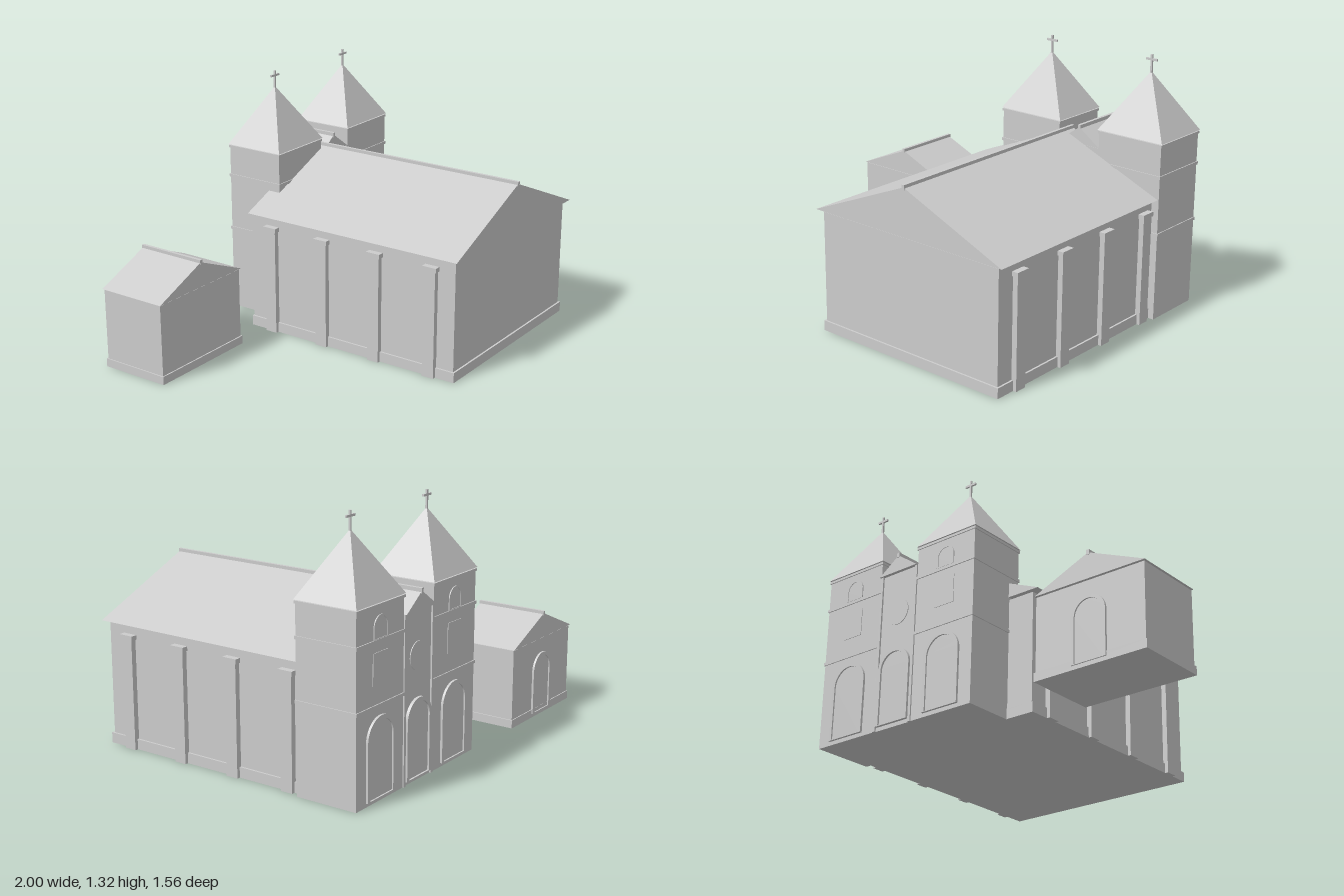
import * as THREE from 'three';

const stone = new THREE.MeshStandardMaterial({ color: 0xcccccc });
stone.name = 'pale grey stone';

function add(parent, name, geometry) {
  const mesh = new THREE.Mesh(geometry, stone);
  mesh.name = name;
  parent.add(mesh);
  return mesh;
}

// Box given by its limits on each axis
function block(parent, name, x0, x1, y0, y1, z0, z1) {
  const mesh = add(parent, name, new THREE.BoxGeometry(x1 - x0, y1 - y0, z1 - z0));
  mesh.position.set((x0 + x1) / 2, (y0 + y1) / 2, (z0 + z1) / 2);
  return mesh;
}

// Solid gable roof with its ridge along z and a narrow ridge cap
function gableRoof(parent, name, x0, x1, eave, ridge, z0, z1) {
  const mid = (x0 + x1) / 2;
  const shape = new THREE.Shape([
    new THREE.Vector2(x0, eave), new THREE.Vector2(x1, eave), new THREE.Vector2(mid, ridge),
  ]);
  const roof = add(parent, name, new THREE.ExtrudeGeometry(shape, { depth: z1 - z0, bevelEnabled: false }));
  roof.position.z = z0;
  block(parent, name + 'RidgeCap', mid - 0.008, mid + 0.008, ridge - 0.012, ridge + 0.013, z0 - 0.003, z1 + 0.003);
}

// Outline of a round-headed opening
function archPath(path, w, h, y0 = 0) {
  const r = w / 2;
  path.moveTo(-r, y0);
  path.lineTo(r, y0);
  path.lineTo(r, h - r);
  path.absarc(0, h - r, r, 0, Math.PI, false);
  path.lineTo(-r, y0);
  return path;
}

// Raised frame around an arched opening, with a thin leaf inside; faces -z
function archedOpening(parent, name, x, y, w, h, frame, wallZ, depth) {
  const ring = archPath(new THREE.Shape(), w, h);
  ring.holes.push(archPath(new THREE.Path(), w - 2 * frame, h - frame, 0.004));
  const leaf = archPath(new THREE.Shape(), w - 2 * frame, h - frame, 0.004);
  for (const [part, shape, d] of [['Frame', ring, depth], ['Leaf', leaf, depth * 0.35]]) {
    const geometry = new THREE.ExtrudeGeometry(shape, { depth: d, bevelEnabled: false, curveSegments: 20 });
    add(parent, name + part, geometry).position.set(x, y, wallZ - d);
  }
}

function tower(x0, x1) {
  const g = new THREE.Group();
  g.name = 'bellTower';
  const z0 = -0.76, z1 = -0.43, mid = (x0 + x1) / 2, zMid = -0.595;
  block(g, 'towerWalls', x0, x1, 0, 0.915, z0, z1);

  // Storey bands and the cornice
  for (const y of [0.456, 0.756]) {
    block(g, 'towerBand', x0 - 0.005, x1 + 0.005, y - 0.008, y + 0.008, z0 - 0.005, z1 + 0.005);
  }
  block(g, 'towerCornice', x0 - 0.005, x1 + 0.005, 0.912, 0.925, z0 - 0.005, z1 + 0.005);

  // Pyramid spire
  const cone = new THREE.ConeGeometry(Math.SQRT1_2, 0.305, 4, 1).toNonIndexed();
  cone.rotateY(Math.PI / 4);
  cone.scale(x1 - x0 + 0.014, 1, z1 - z0 + 0.012);
  cone.computeVertexNormals();
  add(g, 'spire', cone).position.set(mid, 0.93 + 0.1525, zMid);

  // Cross
  block(g, 'crossPost', mid - 0.005, mid + 0.005, 1.22, 1.32, zMid - 0.005, zMid + 0.005);
  block(g, 'crossArm', mid - 0.033, mid + 0.033, 1.289, 1.3, zMid - 0.005, zMid + 0.005);

  // Doorway, square window and belfry opening
  archedOpening(g, 'towerDoor', mid, 0.02, 0.22, 0.39, 0.018, z0, 0.012);
  block(g, 'squareWindow', mid - 0.06, mid + 0.06, 0.555, 0.705, z0 - 0.003, z0 + 0.002);
  archedOpening(g, 'belfryWindow', mid, 0.765, 0.11, 0.11, 0.008, z0, 0.005);
  return g;
}

export function createModel() {
  const model = new THREE.Group();
  model.name = 'twinTowerChurch';

  // Nave
  const nave = new THREE.Group();
  nave.name = 'nave';
  model.add(nave);
  block(nave, 'naveWalls', -0.15, 0.953, 0, 0.627, -0.495, 0.752);
  block(nave, 'navePlinth', -0.16, 0.963, 0, 0.053, -0.5, 0.762);
  gableRoof(nave, 'naveRoof', -0.182, 0.988, 0.64, 0.885, -0.5, 0.775);

  // Side buttresses with capitals
  for (const z of [0.62, 0.29, -0.035, -0.36]) {
    for (const [a, b] of [[-0.178, -0.149], [0.952, 0.981]]) {
      block(nave, 'buttress', a, b, 0, 0.57, z - 0.033, z + 0.033);
      block(nave, 'buttressCapital', a - 0.005, b + 0.005, 0.565, 0.588, z - 0.04, z + 0.04);
    }
  }

  // Facade between the towers
  const facade = new THREE.Group();
  facade.name = 'centralFacade';
  model.add(facade);
  block(facade, 'facadeWall', 0.36, 0.64, 0, 0.83, -0.757, -0.43);
  for (const x of [0.381, 0.613]) {
    block(facade, 'facadePilaster', x - 0.008, x + 0.008, 0, 0.83, -0.766, -0.75);
  }
  gableRoof(facade, 'facadeGable', 0.372, 0.622, 0.83, 0.918, -0.775, -0.432);
  archedOpening(facade, 'mainDoor', 0.497, 0.02, 0.205, 0.39, 0.018, -0.757, 0.015);
  const rose = add(facade, 'roundWindow', new THREE.CylinderGeometry(0.07, 0.07, 0.008, 32));
  rose.rotation.x = Math.PI / 2;
  rose.position.set(0.497, 0.61, -0.757);

  // Twin towers
  model.add(tower(0, 0.372), tower(0.622, 0.994));

  // Small chapel standing apart
  const chapel = new THREE.Group();
  chapel.name = 'chapel';
  model.add(chapel);
  block(chapel, 'chapelWalls', -0.993, -0.392, 0, 0.415, -0.765, -0.397);
  block(chapel, 'chapelPlinth', -1, -0.385, 0, 0.043, -0.77, -0.39);
  gableRoof(chapel, 'chapelRoof', -1, -0.385, 0.42, 0.55, -0.772, -0.39);
  archedOpening(chapel, 'chapelDoor', -0.692, 0.02, 0.19, 0.32, 0.018, -0.765, 0.011);

  return model;
}
